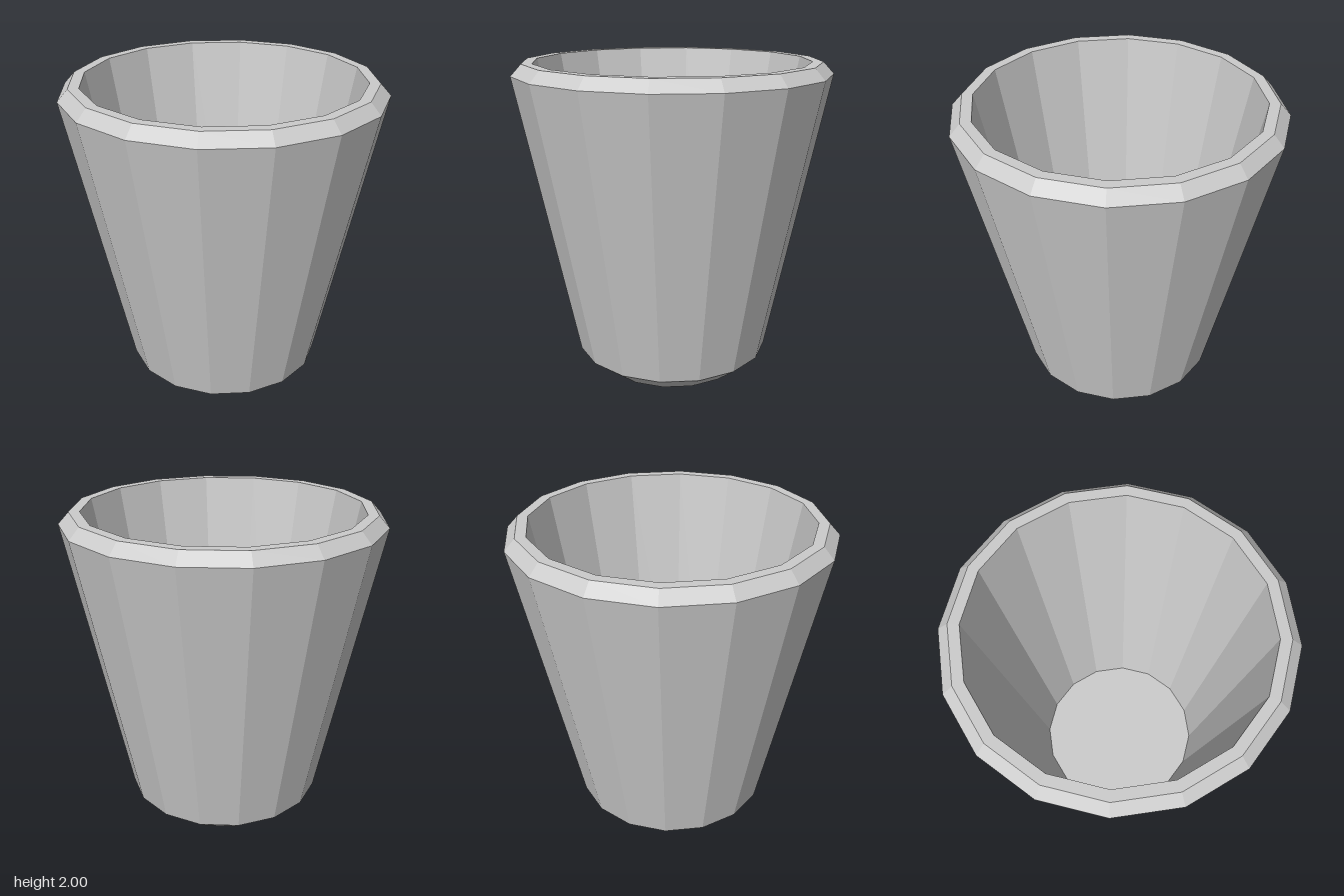
import * as THREE from 'three';

const SIDES = 16;

export function createModel() {
  const group = new THREE.Group();
  const material = new THREE.MeshStandardMaterial({ color: 0xcccccc, flatShading: true });

  // Faceted ring of surface; points run from the outer base, over the rim, to the inner floor
  const addPart = (name, profile) => {
    const points = profile.map(([r, y]) => new THREE.Vector2(r, y));
    const mesh = new THREE.Mesh(new THREE.LatheGeometry(points, SIDES), material);
    mesh.name = name;
    group.add(mesh);
  };

  // Flat underside with chamfered foot
  addPart('base', [[0, 0], [0.475, 0], [0.625, 0.12]]);
  // Tapered outside
  addPart('outerWall', [[0.625, 0.12], [0.985, 1.93]]);
  // Chamfer and flat lip
  addPart('rim', [[0.985, 1.93], [0.92, 2], [0.855, 2]]);
  // Tapered inside and floor
  addPart('innerWall', [[0.855, 2], [0.525, 0.2]]);
  addPart('innerFloor', [[0.525, 0.2], [0, 0.2]]);

  return group;
}
